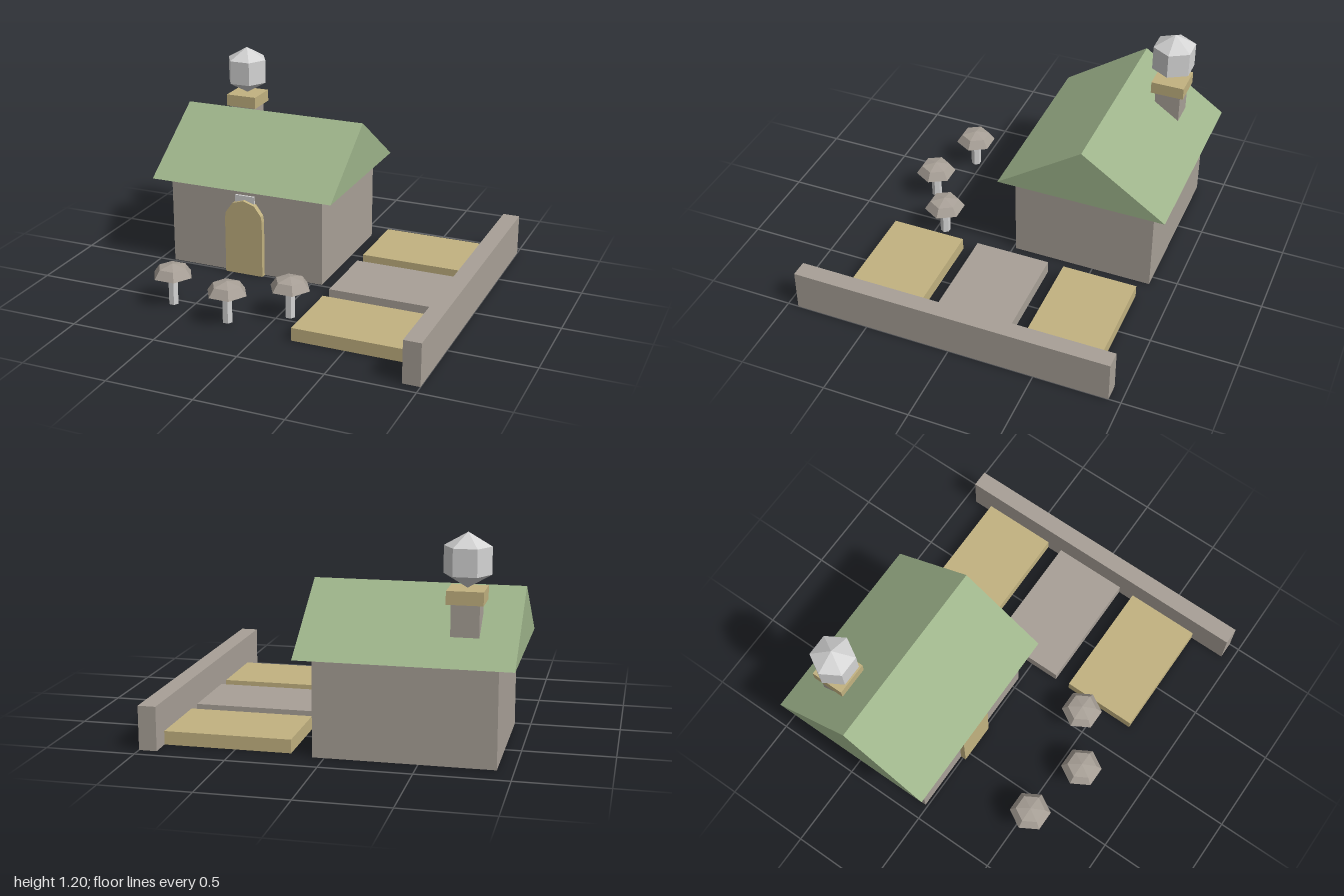
import * as THREE from 'three';

const mat = (name, color) => {
  const m = new THREE.MeshStandardMaterial({ color, flatShading: true });
  m.name = name;
  return m;
};

export function createModel() {
  const model = new THREE.Group();
  const stone = mat('stone', 0xa8a097);
  const sand = mat('sand', 0xc2b280);
  const sage = mat('sage green', 0x9db38a);
  const pale = mat('pale grey', 0xd4d4d4);

  const add = (name, geometry, material, x = 0, y = 0, z = 0, parent = model) => {
    const mesh = new THREE.Mesh(geometry, material);
    mesh.name = name;
    mesh.position.set(x, y, z);
    parent.add(mesh);
    return mesh;
  };
  // Box given by its limits on each axis
  const box = (name, material, [x0, x1], [y0, y1], [z0, z1]) =>
    add(name, new THREE.BoxGeometry(x1 - x0, y1 - y0, z1 - z0), material,
      (x0 + x1) / 2, (y0 + y1) / 2, (z0 + z1) / 2);

  // Cottage walls
  box('houseWalls', stone, [-0.91, 0.065], [0, 0.545], [-0.85, -0.015]);

  // Gable roof: triangle extruded along x
  const gable = new THREE.Shape([
    new THREE.Vector2(-0.5, 0), new THREE.Vector2(0.5, 0), new THREE.Vector2(0, 0.342),
  ]);
  const roofGeo = new THREE.ExtrudeGeometry(gable, { depth: 1.15, bevelEnabled: false });
  roofGeo.rotateY(Math.PI / 2);
  add('roof', roofGeo, sage, -1, 0.543, -0.436);

  // Arched door with a faceted head
  const r = 0.12, headY = 0.347;
  const outline = [new THREE.Vector2(-r, 0), new THREE.Vector2(r, 0), new THREE.Vector2(r, headY)];
  for (let i = -2; i <= 2; i++) {
    const a = (i * Math.PI) / 5;
    outline.push(new THREE.Vector2(-Math.sin(a) * r, headY + Math.cos(a) * r));
  }
  outline.push(new THREE.Vector2(-r, headY));
  const doorGeo = new THREE.ExtrudeGeometry(new THREE.Shape(outline), { depth: 0.035, bevelEnabled: false });
  add('door', doorGeo, sand, -0.425, 0, -0.016);
  box('doorKeystone', pale, [-0.487, -0.364], [0.40, 0.492], [-0.02, -0.002]);

  // Chimney with cap and a puff of smoke
  box('chimneyStack', stone, [-0.795, -0.645], [0.5, 0.84], [-0.757, -0.607]);
  box('chimneyCap', sand, [-0.817, -0.623], [0.838, 0.91], [-0.78, -0.585]);
  add('smokePuff', new THREE.SphereGeometry(0.145, 6, 3), pale, -0.72, 1.057, -0.682);

  // Garden wall and raised beds
  box('gardenWall', stone, [0.9, 1], [0, 0.246], [-0.93, 0.936]);
  [[-0.81, -0.365, sand], [-0.27, 0.177, stone], [0.272, 0.717, sand]].forEach(([z0, z1, m]) =>
    box('gardenBed', m, [0.19, 0.9], [0, 0.076], [z0, z1]));

  // Mushrooms: six-sided stem and closed faceted cap
  const stemGeo = new THREE.CylinderGeometry(0.03, 0.03, 0.176, 6).rotateY(Math.PI / 6);
  const capGeo = new THREE.LatheGeometry([
    new THREE.Vector2(0, 0), new THREE.Vector2(0.12, 0),
    new THREE.Vector2(0.085, 0.05), new THREE.Vector2(0, 0.07),
  ], 6).rotateY(Math.PI / 6);
  [[-0.62, 0.543], [-0.23, 0.64], [0.065, 0.445]].forEach(([x, z]) => {
    const mushroom = new THREE.Group();
    mushroom.name = 'mushroom';
    mushroom.position.set(x, 0, z);
    add('mushroomStem', stemGeo, pale, 0, 0.088, 0, mushroom);
    add('mushroomCap', capGeo, stone, 0, 0.175, 0, mushroom);
    model.add(mushroom);
  });

  return model;
}
